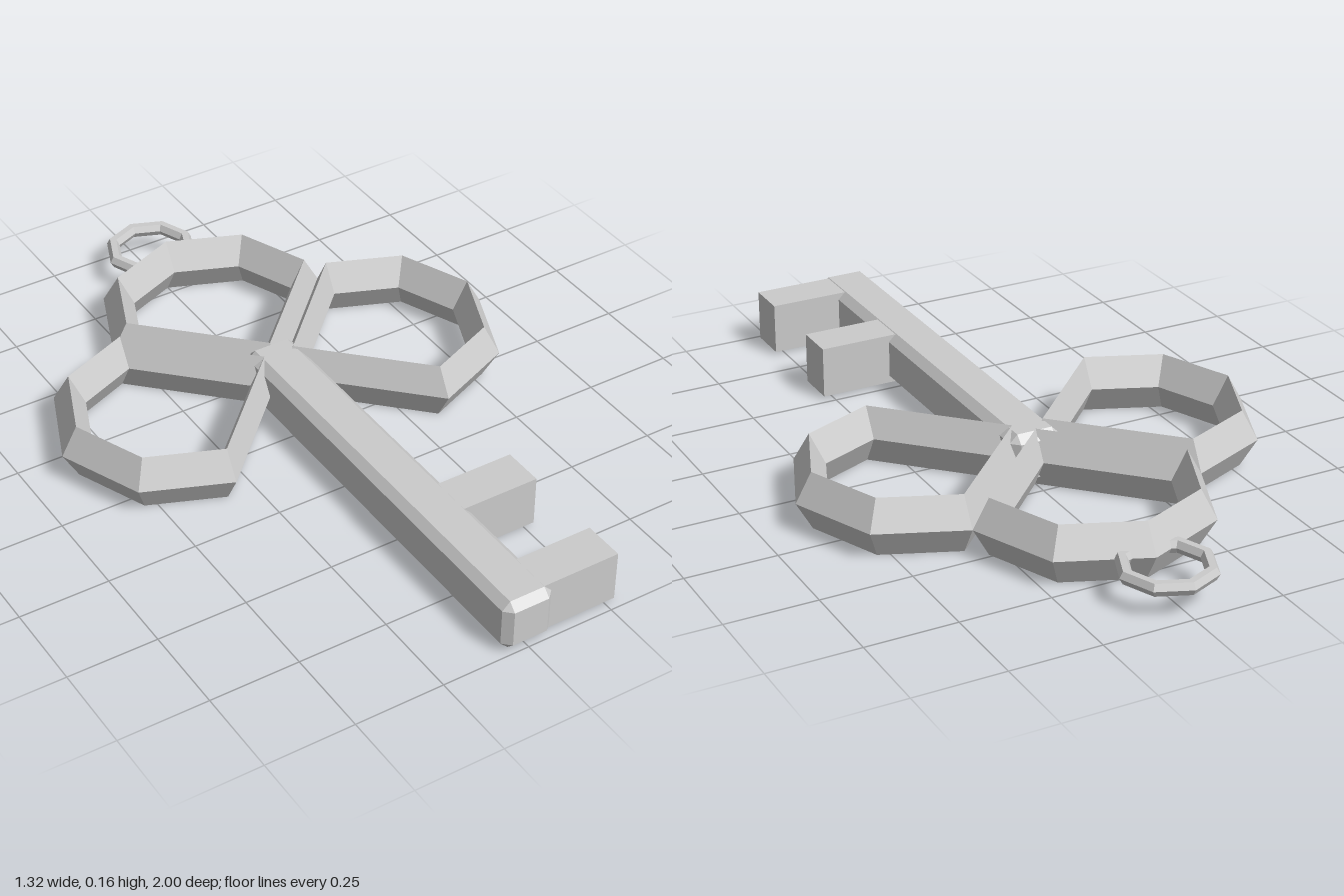
import * as THREE from 'three';
import { ConvexGeometry } from 'three/addons/geometries/ConvexGeometry.js';

const MID = 0.08; // height of the key's middle plane
const HUB_Z = -0.16; // point where the three bow loops meet

const material = new THREE.MeshStandardMaterial({ color: 0xcccccc, flatShading: true });

function addMesh(parent, name, geometry, x = 0, y = 0, z = 0) {
  const mesh = new THREE.Mesh(geometry, material);
  mesh.name = name;
  mesh.position.set(x, y, z);
  parent.add(mesh);
  return mesh;
}

// Faceted ring lying flat
function flatRing(radius, tube, sides, height) {
  const g = new THREE.TorusGeometry(radius, tube, sides, 8);
  g.scale(1, 1, height / tube);
  return g.rotateX(-Math.PI / 2);
}

// Octagonal loop whose two corners beside the hub are pulled in to make a straight-sided point
function loopGeometry() {
  const g = flatRing(0.285, 0.045, 4, MID);
  const p = g.attributes.position;
  for (let i = 0; i < p.count; i++) {
    const x = p.getX(i), z = p.getZ(i);
    if (z > 0.1 && Math.abs(x) > 0.1) {
      p.setX(i, x * Math.SQRT1_2);
      p.setZ(i, z * Math.SQRT1_2);
    }
  }
  g.translate(0, 0, -0.33);
  const flat = g.toNonIndexed();
  flat.computeVertexNormals();
  return flat;
}

// Box with every edge chamfered
function chamferBox(w, h, d, c) {
  const points = [];
  for (const sx of [-1, 1]) for (const sy of [-1, 1]) for (const sz of [-1, 1]) {
    for (let axis = 0; axis < 3; axis++) {
      const inset = [c, c, c];
      inset[axis] = 0;
      points.push(new THREE.Vector3(
        sx * (w / 2 - inset[0]), sy * (h / 2 - inset[1]), sz * (d / 2 - inset[2])));
    }
  }
  return new ConvexGeometry(points);
}

export function createModel() {
  const key = new THREE.Group();
  key.name = 'key';

  // Trefoil bow: three loops turned about the hub
  const bow = new THREE.Group();
  bow.name = 'bow';
  bow.position.set(0, MID, HUB_Z);
  key.add(bow);
  const loop = loopGeometry();
  ['leftLoop', 'backLoop', 'rightLoop'].forEach((name, i) => {
    addMesh(bow, name, loop).rotation.y = (i - 1) * Math.PI / 2;
  });

  // Small hanging ring at the back
  addMesh(key, 'hangingRing', flatRing(0.113, 0.019, 6, 0.02), 0, MID, -0.868);

  // Shaft
  addMesh(key, 'shaft', chamferBox(0.145, 0.148, 1.225, 0.022), 0.002, MID, 0.3875);

  // Two teeth on the left side
  for (const [name, z] of [['rearTooth', 0.578], ['frontTooth', 0.917]]) {
    addMesh(key, name, new THREE.BoxGeometry(0.247, 0.144, 0.116), 0.1535, MID, z);
  }

  return key;
}
